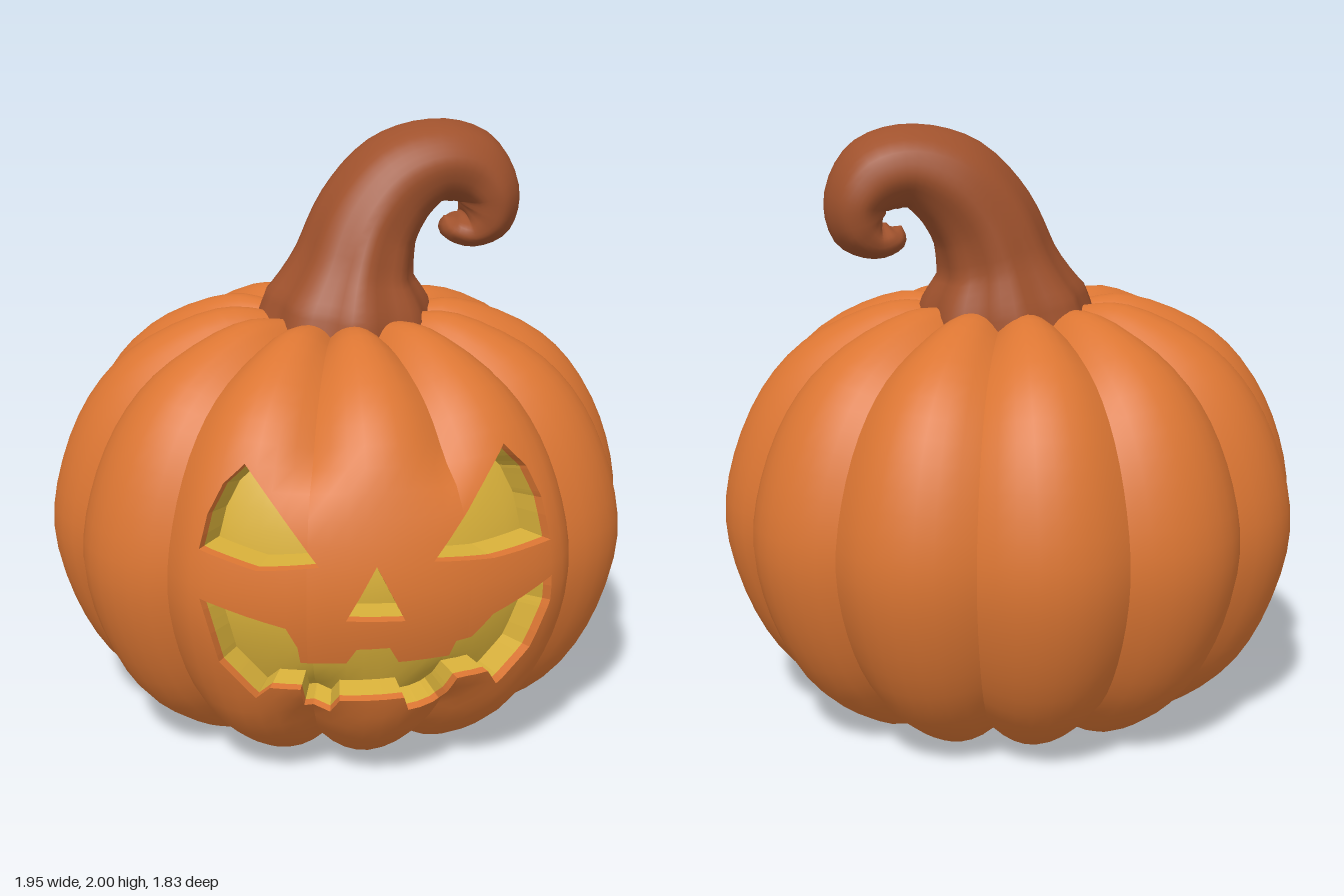
import * as THREE from 'three';

const orange = new THREE.MeshStandardMaterial({ color: 0xdc7633 });
orange.name = 'orangeSkin';
const yellow = new THREE.MeshStandardMaterial({ color: 0xd8b03a });
yellow.name = 'yellowFlesh';
const brown = new THREE.MeshStandardMaterial({ color: 0xa0522d });
brown.name = 'brownStem';

const RIBS = 12, SEGS = 8, ROWS = 38, DEPTH_Z = 0.945;
const smooth = THREE.MathUtils.smoothstep;

// Half outline of a rib crest, bottom to top (radius, height)
const profile = new THREE.SplineCurve([
  [0, 0.05], [0.2, 0.035], [0.45, 0.002], [0.62, 0.06], [0.8, 0.21], [0.92, 0.43], [0.975, 0.68],
  [0.935, 0.92], [0.83, 1.14], [0.67, 1.3], [0.43, 1.405], [0.25, 1.4], [0, 1.32],
].map(p => new THREE.Vector2(...p)));

// Carved openings (counter-clockwise) and the height their walls converge on
const cutouts = [
  { midY: 0.86, pts: [[0.135, 0.845], [0.33, 0.825], [0.535, 0.83], [0.51, 0.96], [0.463, 1.06], [0.39, 1.135]] },
  { midY: 0.86, pts: [[-0.21, 0.845], [-0.405, 1.12], [-0.47, 1.06], [-0.52, 0.97], [-0.55, 0.865], [-0.39, 0.825]] },
  { midY: 0.72, pts: [[-0.04, 0.845], [-0.135, 0.68], [0.045, 0.67]] },
  { midY: 0.5, pts: [
    [-0.555, 0.715], [-0.5, 0.5], [-0.39, 0.37], [-0.35, 0.42], [-0.26, 0.42], [-0.24, 0.335], [-0.16, 0.31],
    [-0.14, 0.375], [0.06, 0.375], [0.08, 0.315], [0.19, 0.315], [0.23, 0.42], [0.335, 0.42], [0.375, 0.35],
    [0.48, 0.47], [0.54, 0.63], [0.54, 0.715], [0.33, 0.645], [0.26, 0.58], [0.21, 0.575], [0.19, 0.525],
    [0.03, 0.525], [0, 0.58], [-0.1, 0.58], [-0.13, 0.53], [-0.265, 0.53], [-0.275, 0.585], [-0.31, 0.65]] },
];
for (const c of cutouts) {
  c.pts = c.pts.map(p => new THREE.Vector2(...p));
  if (THREE.ShapeUtils.isClockWise(c.pts)) c.pts.reverse();
  c.tris = THREE.ShapeUtils.triangulateShape(c.pts, []).map(t => {
    const tri = t.map(i => c.pts[i]);
    return THREE.ShapeUtils.isClockWise(tri) ? tri.reverse() : tri;
  });
}

// Triangle collector; a vertex is [x, y, z, nx, ny, nz]
class Soup {
  pos = [];
  nor = [];
  polygon(v) {
    for (let i = 1; i + 1 < v.length; i++) {
      for (const p of [v[0], v[i], v[i + 1]]) {
        this.pos.push(p[0], p[1], p[2]);
        this.nor.push(p[3], p[4], p[5]);
      }
    }
  }
  flat(pts) {
    const [a, b, c] = pts.map(p => new THREE.Vector3(p[0], p[1], p[2]));
    const n = b.sub(a).cross(c.sub(a)).normalize().toArray();
    this.polygon(pts.map(p => [p[0], p[1], p[2], ...n]));
  }
  mesh(name, material) {
    const g = new THREE.BufferGeometry();
    g.setAttribute('position', new THREE.Float32BufferAttribute(this.pos, 3));
    g.setAttribute('normal', new THREE.Float32BufferAttribute(this.nor, 3));
    const m = new THREE.Mesh(g, material);
    m.name = name;
    return m;
  }
}

// Split a convex polygon by the line a-b into its left and right pieces
function split(poly, a, b) {
  const side = p => (b.x - a.x) * (p[1] - a.y) - (b.y - a.y) * (p[0] - a.x);
  const left = [], right = [];
  poly.forEach((p, i) => {
    const q = poly[(i + 1) % poly.length], sp = side(p), sq = side(q);
    if (sp >= 0) left.push(p);
    if (sp <= 0) right.push(p);
    if (sp * sq < 0) {
      const m = p.map((v, k) => v + (q[k] - v) * sp / (sp - sq));
      left.push(m);
      right.push(m);
    }
  });
  return [left, right];
}
const area = p => Math.abs(THREE.ShapeUtils.area(p.map(v => ({ x: v[0], y: v[1] }))));
const solid = p => p.length > 2 && area(p) > 1e-9;

// Cut a convex polygon by a triangle: pieces outside, and the piece inside
function cut(poly, tri) {
  const outside = [];
  let rest = poly;
  for (let i = 0; i < 3; i++) {
    const [l, r] = split(rest, tri[i], tri[(i + 1) % 3]);
    if (!solid(l)) return { outside: [poly], inside: null };
    if (solid(r)) outside.push(r);
    rest = l;
  }
  return { outside, inside: rest };
}

function onOutline(p, q, pts) {
  return pts.some((a, i) => {
    const b = pts[(i + 1) % pts.length], len = a.distanceTo(b);
    return [p, q].every(v => {
      const dx = v[0] - a.x, dy = v[1] - a.y;
      const along = (dx * (b.x - a.x) + dy * (b.y - a.y)) / len;
      return Math.abs(dx * (b.y - a.y) - dy * (b.x - a.x)) / len < 1e-5 && along > -1e-5 && along < len + 1e-5;
    });
  });
}

// One rib as its own smooth grid, so the creases between ribs stay sharp
function ribGeometry(k) {
  const g = new THREE.PlaneGeometry(1, 1, SEGS, ROWS), pos = g.attributes.position;
  for (let i = 0; i < pos.count; i++) {
    const u = pos.getX(i) * 2, p = profile.getPoint(THREE.MathUtils.clamp(pos.getY(i) + 0.5, 0, 1));
    const phi = (k + u / 2) * Math.PI * 2 / RIBS;
    const fromFront = Math.abs(Math.atan2(Math.sin(phi), Math.cos(phi)));
    // the creases fade out across the face
    const face = (1 - smooth(fromFront, 0.5, 0.78)) * smooth(p.y, 0.26, 0.42) * (1 - smooth(p.y, 1, 1.16));
    const s = 1 - 0.07 * (u * u * (1 - face) + 0.12 * face) * Math.min(1, p.x / 0.35);
    pos.setXYZ(i, p.x * s * Math.sin(phi), 0.7 + (p.y - 0.7) * s, p.x * s * Math.cos(phi) * DEPTH_Z);
  }
  g.computeVertexNormals();
  return g;
}

function buildBody(group) {
  const skin = new Soup(), flesh = new Soup();
  const sink = (p, k, c) => [p[0] * k, c.midY + (p[1] - c.midY) * k, p[2] * k, p[3], p[4], p[5]];
  for (let k = 0; k < RIBS; k++) {
    const g = ribGeometry(k).toNonIndexed(), P = g.attributes.position, N = g.attributes.normal;
    const front = k <= 1 || k === RIBS - 1;
    for (let i = 0; i < P.count; i += 3) {
      let pieces = [[0, 1, 2].map(j => [P.getX(i + j), P.getY(i + j), P.getZ(i + j),
        N.getX(i + j), N.getY(i + j), N.getZ(i + j)])];
      const y = pieces[0][0][1];
      if (front && y > 0.2 && y < 1.25) {
        for (const c of cutouts) for (const tri of c.tris) {
          pieces = pieces.flatMap(piece => {
            const { outside, inside } = cut(piece, tri);
            if (inside) {
              // sunken floor, then an orange rim and yellow wall along the outline
              flesh.polygon(inside.map(p => sink(p, 0.87, c)));
              inside.forEach((p, n) => {
                const q = inside[(n + 1) % inside.length];
                if (Math.hypot(p[0] - q[0], p[1] - q[1]) < 1e-6 || !onOutline(p, q, c.pts)) return;
                const p1 = sink(p, 0.965, c), q1 = sink(q, 0.965, c);
                skin.flat([p, q, q1, p1]);
                flesh.flat([p1, q1, sink(q, 0.87, c), sink(p, 0.87, c)]);
              });
            }
            return outside;
          });
        }
      }
      pieces.forEach(p => skin.polygon(p));
    }
  }
  group.add(skin.mesh('pumpkinBody', orange), flesh.mesh('carvedFace', yellow));
}

// Curled stem: centre x, y, z, then radius in the curl plane and radius along z
function buildStem() {
  const rows = [
    [0.03, 1.34, -0.03, 0.29, 0.32], [0.04, 1.42, -0.03, 0.27, 0.3], [0.06, 1.55, -0.04, 0.195, 0.245],
    [0.11, 1.69, -0.06, 0.175, 0.215], [0.21, 1.81, -0.08, 0.16, 0.195], [0.34, 1.865, -0.09, 0.135, 0.18],
    [0.455, 1.84, -0.1, 0.13, 0.175], [0.52, 1.76, -0.1, 0.105, 0.175], [0.51, 1.675, -0.1, 0.095, 0.16],
    [0.455, 1.63, -0.1, 0.06, 0.13], [0.395, 1.645, -0.1, 0.045, 0.09], [0.375, 1.675, -0.1, 0, 0],
  ];
  const path = new THREE.CatmullRomCurve3(rows.map(r => new THREE.Vector3(r[0], r[1], r[2])));
  const size = new THREE.CatmullRomCurve3(rows.map(r => new THREE.Vector3(r[3], r[4], 0)));
  const rings = 44, sides = 40, pos = [], index = [];
  for (let i = 0; i <= rings; i++) {
    const t = i / rings, c = path.getPoint(t), r = size.getPoint(t), d = path.getTangent(t);
    for (let j = 0; j < sides; j++) {
      const a = j / sides * Math.PI * 2;
      const lobe = 1 + (0.012 + 0.045 * (1 - smooth(t, 0.05, 0.4))) * Math.cos(8 * a + 3 * t);
      const w = Math.cos(a) * r.x * lobe;
      pos.push(c.x - d.y * w, c.y + d.x * w, c.z + Math.sin(a) * r.y * lobe);
      if (i === rings) continue;
      const p = i * sides + j, q = i * sides + (j + 1) % sides;
      index.push(p, q, q + sides, p, q + sides, p + sides);
    }
  }
  const g = new THREE.BufferGeometry();
  g.setAttribute('position', new THREE.Float32BufferAttribute(pos, 3));
  g.setIndex(index);
  g.computeVertexNormals();
  const stem = new THREE.Mesh(g, brown);
  stem.name = 'stem';
  return stem;
}

export function createModel() {
  const group = new THREE.Group();
  group.name = 'carvedPumpkin';
  buildBody(group);
  group.add(buildStem());
  return group;
}
